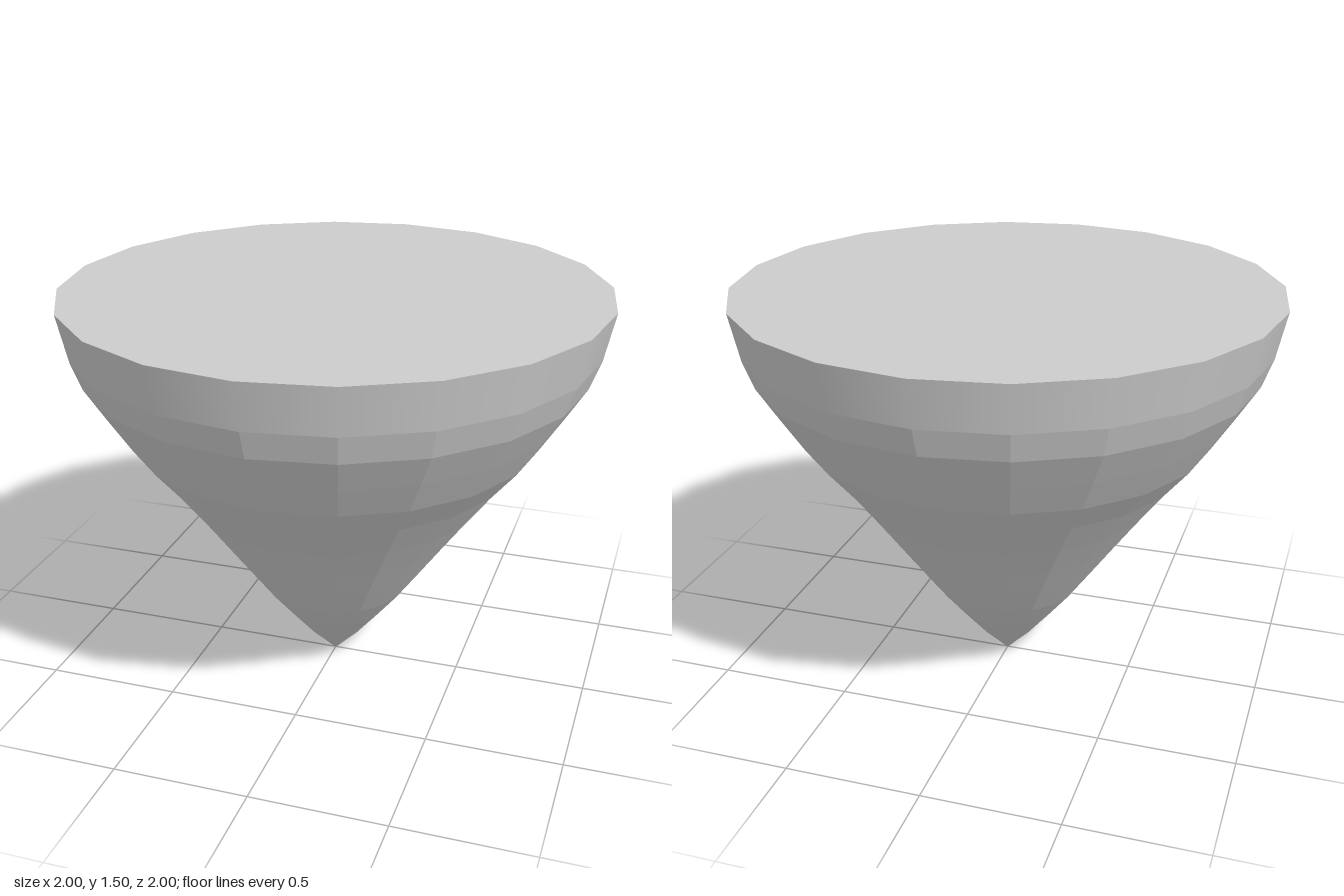
import * as THREE from 'three';

const SIDES = 20;

// Revolve a list of [radius, height] points, bottom to top.
function ring(name, profile, flatShading) {
  const points = profile.map(([r, y]) => new THREE.Vector2(r, y));
  const material = new THREE.MeshStandardMaterial({ color: 0xcccccc, flatShading });
  const mesh = new THREE.Mesh(new THREE.LatheGeometry(points, SIDES), material);
  mesh.name = name;
  return mesh;
}

export function createModel() {
  const group = new THREE.Group();
  group.name = 'taperedCone';

  // Rounded point at the bottom
  group.add(ring('tip', [[0, 0], [0.01, 0.007], [0.05, 0.05]], false));

  // Faceted body, swelling towards the rim
  group.add(ring('body', [
    [0.05, 0.05], [0.1, 0.1], [0.2, 0.22], [0.285, 0.325], [0.375, 0.45], [0.475, 0.59],
    [0.565, 0.715], [0.67, 0.855], [0.765, 0.97], [0.848, 1.1], [0.925, 1.225], [0.963, 1.33],
  ], true));

  // Smooth band at the top
  group.add(ring('rimBand', [[0.963, 1.33], [1, 1.505]], false));

  // Flat lid
  const lid = new THREE.Mesh(
    new THREE.CircleGeometry(1, SIDES).rotateX(-Math.PI / 2),
    new THREE.MeshStandardMaterial({ color: 0xcccccc }),
  );
  lid.name = 'lid';
  lid.position.y = 1.505;
  group.add(lid);

  return group;
}
